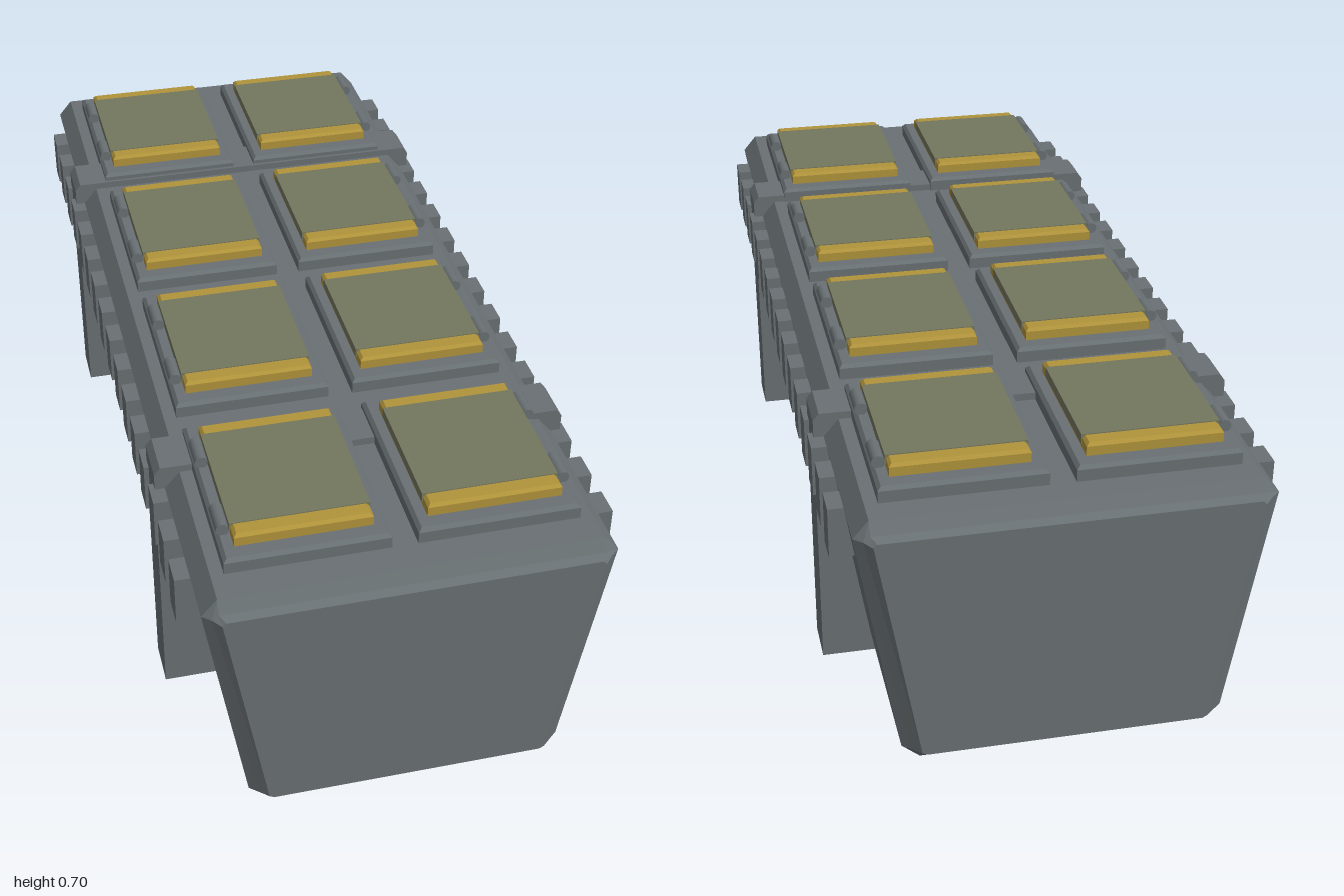
import * as THREE from 'three';

const mat = (name, color) => {
  const m = new THREE.MeshStandardMaterial({ color });
  m.name = name;
  return m;
};

// Flat-faced solid lofted through rings of [x, y] points, each ring at its own z
function loft(rings) {
  const pos = [];
  const tri = (a, b, c) => pos.push(...a, ...b, ...c);
  const pts = rings.map(r => r.points.map(([x, y]) => [x, y, r.z]));
  const n = pts[0].length;
  for (let k = 0; k < pts.length - 1; k++) {
    for (let i = 0; i < n; i++) {
      const j = (i + 1) % n;
      tri(pts[k][i], pts[k][j], pts[k + 1][j]);
      tri(pts[k][i], pts[k + 1][j], pts[k + 1][i]);
    }
  }
  const first = pts[0], last = pts[pts.length - 1];
  for (let i = 1; i < n - 1; i++) {
    tri(first[0], first[i + 1], first[i]);
    tri(last[0], last[i], last[i + 1]);
  }
  const g = new THREE.BufferGeometry();
  g.setAttribute('position', new THREE.Float32BufferAttribute(pos, 3));
  g.computeVertexNormals();
  return g;
}

// Right-hand points from bottom to top, completed by their mirror image
const mirrored = half => [...half, ...half.slice().reverse().map(([x, y]) => [-x, y])];

// Box whose top (or bottom) is narrower: half sizes at two heights
function bevelBox(w, d, y0, yMid, y1, inset) {
  const rect = s => [[w - s, d - s], [-w + s, d - s], [-w + s, -d + s], [w - s, -d + s]].map(([x, z]) => [x, -z]).reverse();
  const g = loft([{ z: y0, points: rect(0) }, { z: yMid, points: rect(0) }, { z: y1, points: rect(inset) }]);
  return g.rotateX(-Math.PI / 2);
}

export function createModel() {
  const grey = mat('hull grey', 0x697073);
  const gold = mat('gold trim', 0xb0933a);
  const olive = mat('hatch olive', 0x74775f);
  const root = new THREE.Group();
  root.name = 'cargoPod';

  const add = (name, geometry, material, x = 0, y = 0, z = 0, parent = root) => {
    const m = new THREE.Mesh(geometry, material);
    m.name = name;
    m.position.set(x, y, z);
    parent.add(m);
    return m;
  };

  // Tapered hull with bevelled ends
  const full = mirrored([[0.28, 0.1], [0.315, 0.13], [0.395, 0.605], [0.365, 0.64]]);
  const mid = mirrored([[0.275, 0.117], [0.297, 0.13], [0.378, 0.605], [0.365, 0.615]]);
  const end = mirrored([[0.27, 0.125], [0.28, 0.13], [0.362, 0.6], [0.355, 0.607]]);
  add('hull', loft([
    { z: -1, points: end }, { z: -0.985, points: mid }, { z: -0.97, points: full },
    { z: 0.97, points: full }, { z: 0.985, points: mid }, { z: 1, points: end },
  ]), grey);

  // Two frames wrapped round the hull, open in the middle underneath
  const frameShape = new THREE.Shape(mirrored([
    [0.2, 0.12], [0.2, 0.085], [0.415, 0.085], [0.415, 0.64], [0.403, 0.655],
  ]).map(([x, y]) => new THREE.Vector2(x, y)));
  const frameGeo = new THREE.ExtrudeGeometry(frameShape, { depth: 0.096, bevelEnabled: false });
  const footGeo = bevelBox(0.09, 0.072, -0.095, -0.015, -0.005, 0.01).rotateX(Math.PI);
  const braceGeo = new THREE.BoxGeometry(0.12, 0.04, 0.06);
  for (const z of [0.555, -0.553]) {
    add('frame', frameGeo, grey, 0, 0, z - 0.048);
    // Foot block with a tilted brace on each side
    add('foot', footGeo, grey, 0, 0, z);
    for (const s of [1, -1]) add('brace', braceGeo, grey, s * 0.229, 0.101, z).rotation.z = s * 0.35;
  }

  // Rows of blocks under the top edge
  const blockGeo = new THREE.BoxGeometry(0.075, 0.105, 0.06);
  for (const s of [1, -1]) {
    for (let i = 0; i < 16; i++) add('edgeBlock', blockGeo, grey, s * 0.3875, 0.5525, 0.837 - i * 0.1115);
  }

  // Side panels with gold strips, leaning with the hull wall
  const lean = Math.atan2(0.08, 0.475);
  for (const s of [1, -1]) {
    const panel = new THREE.Group();
    panel.name = 'sidePanel';
    panel.position.set(s * 0.3535, 0.358, 0);
    panel.rotation.z = -s * lean;
    root.add(panel);
    add('panelPlate', new THREE.BoxGeometry(0.008, 0.25, 0.89), grey, 0, 0, 0, panel);
    for (const y of [0.113, -0.113]) {
      add('goldStrip', new THREE.BoxGeometry(0.009, 0.022, 0.892), gold, s * 0.003, y, 0, panel);
    }
  }

  // Eight hatches: plinth, gold-ended slab, olive cover, hinge barrels
  const plinthGeo = bevelBox(0.1575, 0.203, 0.635, 0.664, 0.671, 0.007);
  const slabGeo = bevelBox(0.131, 0.168, 0.668, 0.69, 0.696, 0.006);
  const coverGeo = new THREE.BoxGeometry(0.266, 0.02, 0.27);
  const hingeGeo = new THREE.CylinderGeometry(0.013, 0.013, 0.065, 12).rotateX(Math.PI / 2);
  for (const z of [-0.715, -0.24, 0.23, 0.705]) {
    for (const s of [1, -1]) {
      const hatch = new THREE.Group();
      hatch.name = 'hatch';
      hatch.position.set(s * 0.1825, 0, z);
      root.add(hatch);
      add('plinth', plinthGeo, grey, 0, 0, 0, hatch);
      add('goldSlab', slabGeo, gold, 0, 0, 0, hatch);
      add('oliveCover', coverGeo, olive, 0, 0.688, 0, hatch);
      for (const dz of [0.1, -0.1]) add('hinge', hingeGeo, grey, s * 0.145, 0.682, dz, hatch);
    }
  }

  // Slanted pipe below the hull
  const pipe = add('pipe', new THREE.CylinderGeometry(0.02, 0.02, 0.15, 16), grey, 0, 0.07, -0.34);
  pipe.rotation.x = -0.7;

  return root;
}
